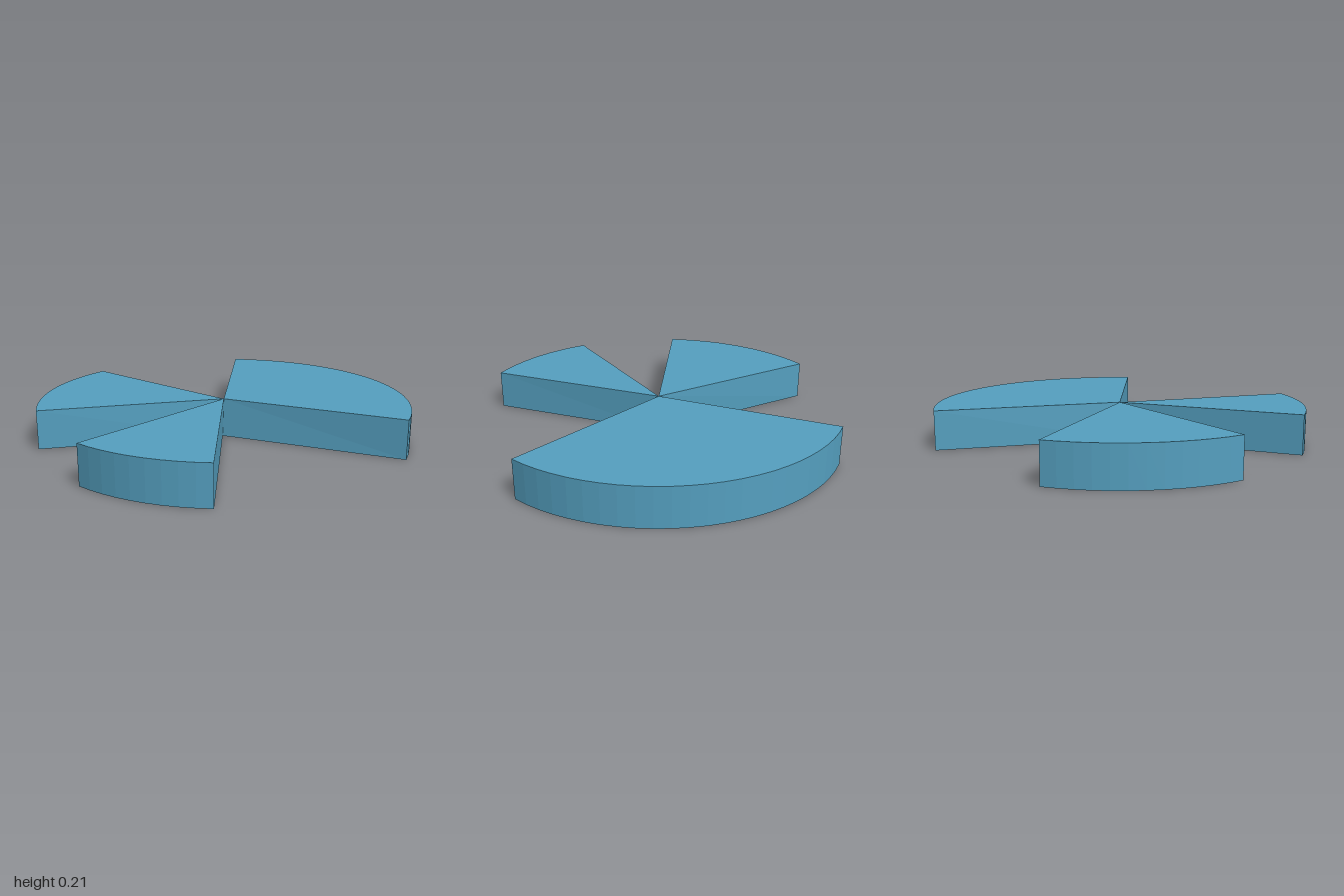
import * as THREE from 'three';

const HEIGHT = 0.21;
const CENTER_X = 0.0195;
const APEX_SHIFT = 0.01; // the lower tip of each wedge sits slightly forward

const material = new THREE.MeshStandardMaterial({ color: 0x55a0c0, flatShading: true });

// Pie slice between two plan angles in degrees (0 = +x, 90 = back), standing on y = 0
function wedge(name, start, end) {
  const steps = Math.round((end - start) / 4.5);
  const points = [new THREE.Vector2(0, 0)];
  for (let i = 0; i <= steps; i++) {
    const a = THREE.MathUtils.degToRad(start + (end - start) * i / steps);
    points.push(new THREE.Vector2(Math.cos(a), Math.sin(a)));
  }
  const geometry = new THREE.ExtrudeGeometry(new THREE.Shape(points), { depth: HEIGHT, bevelEnabled: false });
  geometry.rotateX(-Math.PI / 2);

  // Lean the tip edge
  const p = geometry.attributes.position;
  for (let i = 0; i < p.count; i++) {
    if (Math.hypot(p.getX(i), p.getZ(i)) < 0.001 && p.getY(i) < HEIGHT / 2) p.setZ(i, APEX_SHIFT);
  }
  geometry.computeVertexNormals();

  const mesh = new THREE.Mesh(geometry, material);
  mesh.name = name;
  mesh.position.x = CENTER_X;
  return mesh;
}

export function createModel() {
  const group = new THREE.Group();
  group.name = 'slicedDisc';
  group.add(
    wedge('backWedge', 16, 124.6),
    wedge('rightWedge', 178.8, 232.8),
    wedge('frontWedge', 267.4, 306.7)
  );
  return group;
}
